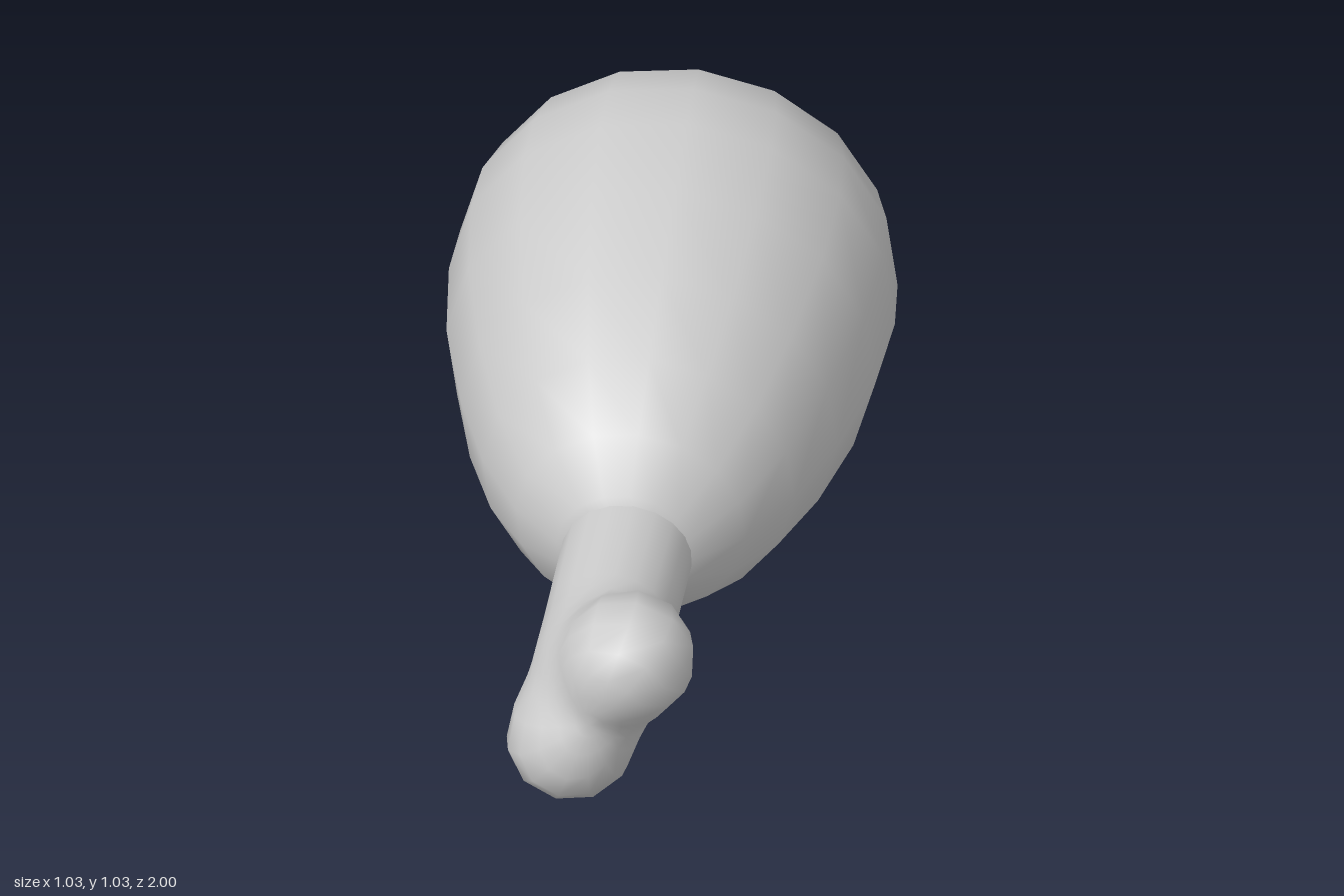
import * as THREE from 'three';

const material = new THREE.MeshStandardMaterial({ color: 0xcccccc });

// Meat: a sixteen-sided turned pear shape, leaning slightly off the z axis
function makeMeat() {
  const pivot = -0.6;
  const profile = [
    [0, -1], [0.11, -0.997], [0.22, -0.983], [0.33, -0.952], [0.405, -0.91], [0.468, -0.835],
    [0.505, -0.72], [0.515, -0.58], [0.495, -0.36], [0.435, -0.12],
    [0.36, 0.085], [0.265, 0.245], [0.16, 0.342], [0.09, 0.37], [0, 0.38],
  ].map(([r, z]) => new THREE.Vector2(r, z - pivot));
  const geometry = new THREE.LatheGeometry(profile, 16, -0.07);
  geometry.rotateX(Math.PI / 2).rotateX(0.03).rotateY(0.053);
  geometry.translate(0, 0.518, pivot);
  const mesh = new THREE.Mesh(geometry, material);
  mesh.name = 'meat';
  return mesh;
}

// Bone: a shaft blended smoothly into two round knuckles
const shaft = new THREE.Line3(new THREE.Vector3(0.05, 0.49, 0), new THREE.Vector3(0.057, 0.468, 0.72));
const upperKnuckle = new THREE.Vector3(0.145, 0.582, 0.845);
const lowerKnuckle = new THREE.Vector3(0.007, 0.326, 0.835);
const nearest = new THREE.Vector3();

function blend(a, b, k) {
  const h = Math.max(k - Math.abs(a - b), 0) / k;
  return Math.min(a, b) - h * h * k / 4;
}

function boneDistance(p) {
  shaft.closestPointToPoint(p, true, nearest);
  const knuckles = blend(p.distanceTo(upperKnuckle) - 0.152, p.distanceTo(lowerKnuckle) - 0.15, 0.15);
  return blend(knuckles, p.distanceTo(nearest) - 0.15, 0.08);
}

// Point on the bone's skin along a ray from inside it
function skinPoint(origin, direction) {
  let near = 0, far = 0.6;
  const p = new THREE.Vector3();
  for (let i = 0; i < 24; i++) {
    const middle = (near + far) / 2;
    p.copy(origin).addScaledVector(direction, middle);
    if (boneDistance(p) < 0) near = middle; else far = middle;
  }
  return p;
}

function makeBone() {
  const sides = 20;
  // Rows: [centre z, elevation in degrees toward the front]
  const rows = [[0.2, 0], [0.36, 0], [0.5, 0], [0.6, 0], [0.8, -42], [0.8, -24], [0.8, -8],
    [0.8, 8], [0.8, 22], [0.8, 36], [0.8, 50], [0.8, 64], [0.8, 78]];
  const positions = [], index = [];
  rows.forEach(([z, degrees], row) => {
    const e = THREE.MathUtils.degToRad(degrees);
    const origin = new THREE.Vector3(0.07, 0.46, z);
    for (let i = 0; i < sides; i++) {
      const a = (i / sides) * Math.PI * 2;
      const direction = new THREE.Vector3(Math.cos(a) * Math.cos(e), Math.sin(a) * Math.cos(e), Math.sin(e));
      positions.push(...skinPoint(origin, direction).toArray());
      const next = (i + 1) % sides;
      const here = row * sides, above = here + sides;
      if (row < rows.length - 1) {
        index.push(here + i, here + next, above + next, here + i, above + next, above + i);
      } else {
        index.push(here + i, here + next, rows.length * sides);
      }
    }
  });
  // Front centre closes the dip between the knuckles
  positions.push(...skinPoint(new THREE.Vector3(0.07, 0.46, 0.8), new THREE.Vector3(0, 0, 1)).toArray());

  const geometry = new THREE.BufferGeometry();
  geometry.setAttribute('position', new THREE.Float32BufferAttribute(positions, 3));
  geometry.setIndex(index);
  geometry.computeVertexNormals();
  const mesh = new THREE.Mesh(geometry, material);
  mesh.name = 'bone';
  return mesh;
}

export function createModel() {
  const group = new THREE.Group();
  group.name = 'drumstick';
  group.add(makeMeat(), makeBone());
  return group;
}
